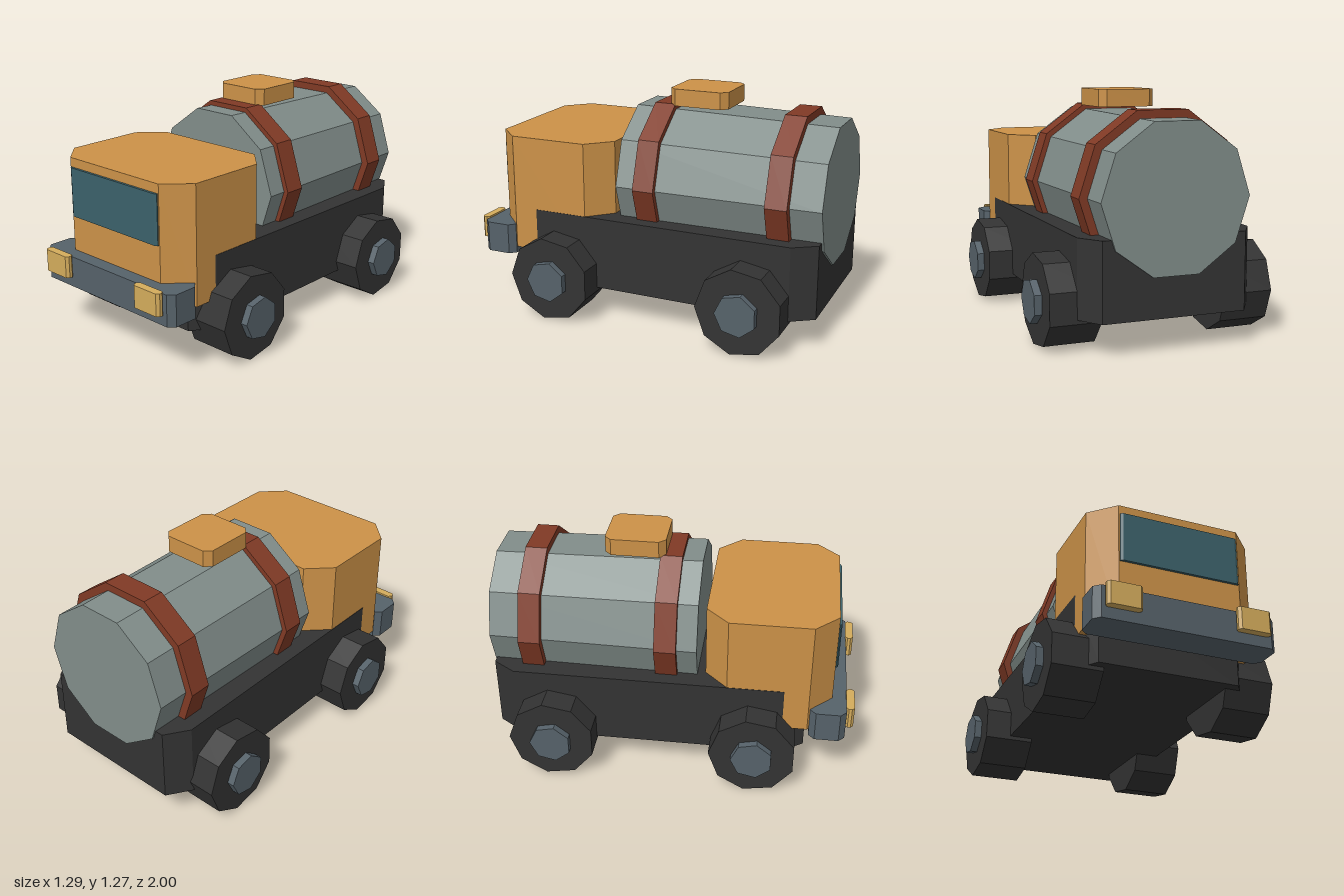
import * as THREE from 'three';

const paint = (name, color) => Object.assign(new THREE.MeshStandardMaterial({ color }), { name });

export function createModel() {
  const orange = paint('orange paint', 0xcc9248);
  const steel = paint('tank grey', 0x818d8a);
  const black = paint('dark rubber', 0x333333);
  const rust = paint('rust red', 0x803a25);
  const glass = paint('window teal', 0x3c626b);
  const slate = paint('slate metal', 0x56626a);
  const lamp = paint('lamp yellow', 0xd4ac5c);

  const truck = new THREE.Group();
  truck.name = 'tankTruck';

  const add = (name, geometry, material, x = 0, y = 0, z = 0) => {
    const mesh = new THREE.Mesh(geometry, material);
    mesh.name = name;
    mesh.position.set(x, y, z);
    truck.add(mesh);
    return mesh;
  };

  // Upright block whose four vertical corners are cut off by cx and cz
  const block = (name, material, x, w, y0, y1, z0, z1, cx, cz) => {
    const a = w / 2, b = (z1 - z0) / 2;
    const plan = new THREE.Shape([
      [a, -b + cz], [a, b - cz], [a - cx, b], [-a + cx, b],
      [-a, b - cz], [-a, -b + cz], [-a + cx, -b], [a - cx, -b],
    ].map(([px, py]) => new THREE.Vector2(px, py)));
    const geometry = new THREE.ExtrudeGeometry(plan, { depth: y1 - y0, bevelEnabled: false });
    geometry.rotateX(-Math.PI / 2);
    return add(name, geometry, material, x, y0, (z0 + z1) / 2);
  };

  // Ten-sided drum lying along z, flat side up
  const drum = (name, material, rFront, rBack, zBack, zFront) => {
    const geometry = new THREE.CylinderGeometry(rFront, rBack, zFront - zBack, 10, 1, false, Math.PI / 10)
      .toNonIndexed();
    geometry.rotateX(Math.PI / 2);
    geometry.computeVertexNormals();
    return add(name, geometry, material, 0, 0.76, (zBack + zFront) / 2);
  };

  // Body
  block('chassis', black, 0, 0.928, 0.175, 0.58, -0.99, 0.74, 0.082, 0.125);
  block('cab', orange, 0, 0.924, 0.34, 0.99, 0.183, 0.88, 0.127, 0.127);
  block('windscreen', glass, 0, 0.656, 0.67, 0.94, 0.866, 0.894, 0.013, 0.008);
  block('bumper', slate, 0, 0.98, 0.30, 0.472, 0.762, 0.958, 0.033, 0.033);

  // Tank with straps and filler hatch
  drum('tank', steel, 0.417, 0.395, -1, 0.14);
  for (const z of [-0.03, -0.77]) drum('tankStrap', rust, 0.442, 0.442, z - 0.06, z + 0.06);
  block('hatch', orange, 0, 0.314, 1.175, 1.268, -0.392, -0.06, 0.036, 0.036);

  // Headlights and wheels, each side turned to face outward
  const axle = (radius, x0, x1, sides) => {
    const geometry = new THREE.CylinderGeometry(radius, radius, x1 - x0, sides).toNonIndexed();
    geometry.rotateZ(-Math.PI / 2);
    geometry.translate((x0 + x1) / 2, 0, 0);
    geometry.computeVertexNormals();
    return geometry;
  };
  const tyre = axle(0.2385, 0.335, 0.604, 9);
  const hub = axle(0.115, 0.5, 0.643, 7);
  for (const side of [1, -1]) {
    const label = side > 0 ? 'left' : 'right';
    block(label + 'Headlight', lamp, side * 0.348, 0.184, 0.36, 0.482, 0.955, 1, 0.014, 0.014);
    for (const [end, z] of [['Front', 0.467], ['Back', -0.64]]) {
      for (const [part, geometry, material] of [['Tyre', tyre, black], ['Hub', hub, slate]]) {
        const mesh = add(label + end + part, geometry, material, 0, 0.235, z);
        if (side < 0) mesh.rotation.y = Math.PI;
      }
    }
  }
  return truck;
}
